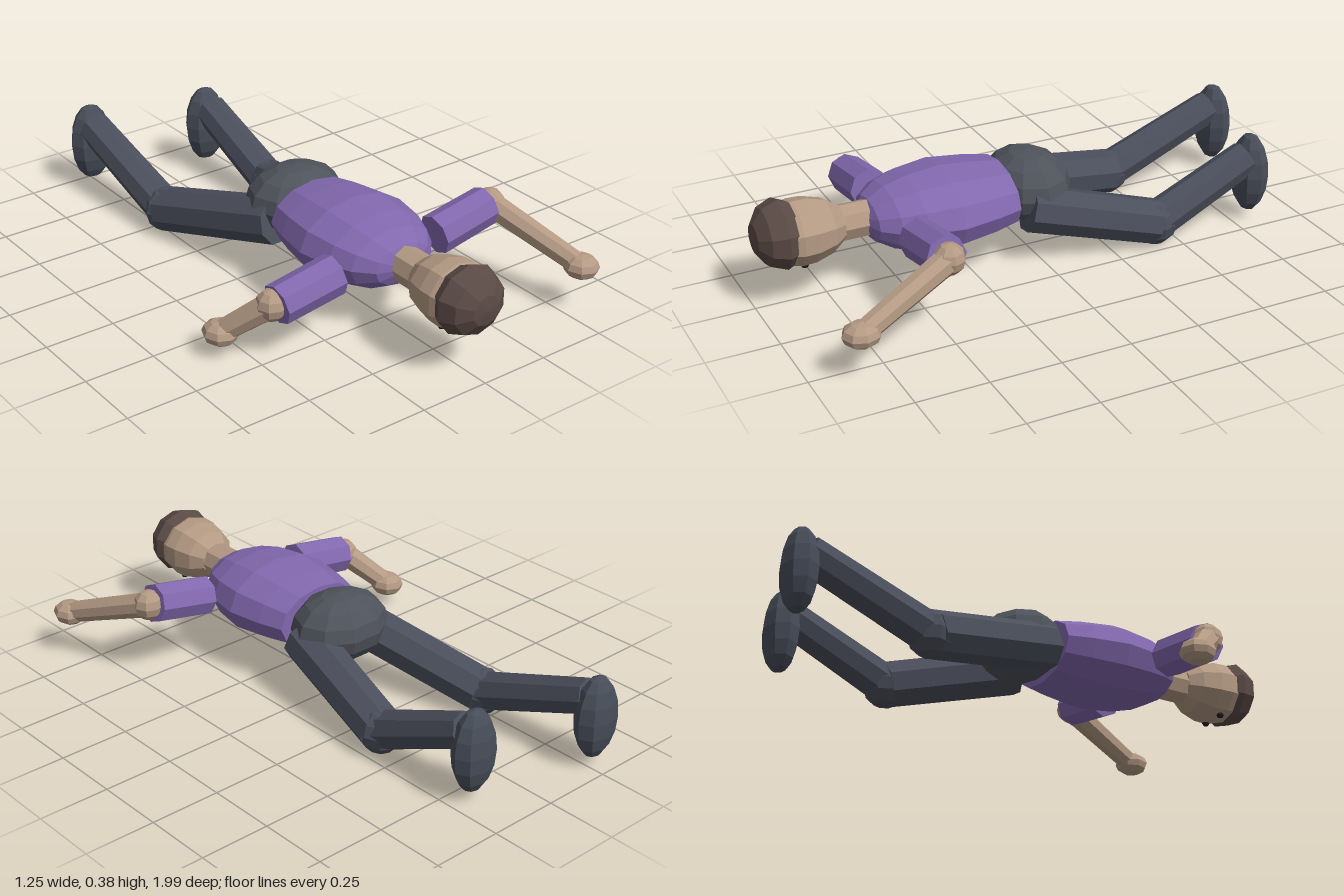
import * as THREE from 'three';

const flat = (name, color) => {
  const m = new THREE.MeshStandardMaterial({ color, flatShading: true });
  m.name = name;
  return m;
};

export function createModel() {
  const mats = {
    skin: flat('skin', 0xb49a84),
    shirt: flat('purple shirt', 0x8268ae),
    hair: flat('dark brown hair', 0x5a4a45),
    trousers: flat('slate trousers', 0x4b4f5c),
    pelvis: flat('grey hips', 0x4e525a),
    shoes: flat('slate shoes', 0x474d59),
    eyes: flat('dark eyes', 0x1e1c1c),
  };
  const group = new THREE.Group();
  group.name = 'lyingFigure';

  const add = (name, geometry, mat) => {
    const mesh = new THREE.Mesh(geometry, mats[mat]);
    mesh.name = name;
    group.add(mesh);
    return mesh;
  };

  // faceted ellipsoid
  const ball = (name, mat, center, radii, w = 8, h = 6) => {
    const mesh = add(name, new THREE.SphereGeometry(1, w, h), mat);
    mesh.position.set(...center);
    mesh.scale.set(...radii);
  };

  // eight-sided cylinder from a to b
  const limb = (name, mat, a, b, ra, rb) => {
    const start = new THREE.Vector3(...a), end = new THREE.Vector3(...b);
    const dir = end.clone().sub(start);
    const mesh = add(name, new THREE.CylinderGeometry(rb, ra, dir.length(), 8), mat);
    mesh.position.copy(start).add(end).multiplyScalar(0.5);
    mesh.quaternion.setFromUnitVectors(new THREE.Vector3(0, 1, 0), dir.normalize());
  };

  // lathe lying along z: profile of [radius, z], flattened in y
  const barrel = (name, mat, profile, y, flatten, sides) => {
    const g = new THREE.LatheGeometry(profile.map(p => new THREE.Vector2(...p)), sides);
    g.rotateX(Math.PI / 2);
    g.scale(1, flatten, 1);
    add(name, g, mat).position.y = y;
  };

  // torso and hips
  barrel('torso', 'shirt', [[0, 0.105], [0.178, 0.105], [0.204, 0.2], [0.225, 0.33],
    [0.204, 0.45], [0.17, 0.53], [0.115, 0.59], [0.06, 0.61], [0, 0.612]], 0.246, 0.615, 12);
  ball('hips', 'pelvis', [0, 0.25, 0], [0.185, 0.125, 0.15], 10, 8);

  // neck, head, hair and downturned face
  limb('neck', 'skin', [0, 0.25, 0.58], [0, 0.25, 0.72], 0.064, 0.064);
  barrel('head', 'skin', [[0, 0.682], [0.066, 0.69], [0.1, 0.735], [0.12, 0.8],
    [0.122, 0.85], [0.105, 0.91], [0, 0.96]], 0.253, 0.93, 10);
  barrel('hair', 'hair', [[0, 0.855], [0.108, 0.857], [0.128, 0.9], [0.105, 0.955],
    [0.055, 0.988], [0, 0.995]], 0.26, 0.95, 10);
  for (const s of [1, -1]) {
    ball(s > 0 ? 'leftEye' : 'rightEye', 'eyes', [s * 0.045, 0.15, 0.835], [0.014, 0.012, 0.014], 6, 4);
  }

  // arms: one raised forward, one folded back
  const arms = [
    { n: 'left', shoulder: [0.21, 0.245, 0.497], cuff: [0.435, 0.288, 0.497],
      elbow: [0.455, 0.29, 0.497], hand: [0.56, 0.165, 0.84] },
    { n: 'right', shoulder: [-0.212, 0.238, 0.497], cuff: [-0.44, 0.202, 0.497],
      elbow: [-0.455, 0.205, 0.49], hand: [-0.567, 0.084, 0.365] },
  ];
  for (const a of arms) {
    limb(a.n + 'Sleeve', 'shirt', a.shoulder, a.cuff, 0.072, 0.07);
    ball(a.n + 'Elbow', 'skin', a.elbow, [0.053, 0.055, 0.055]);
    limb(a.n + 'Forearm', 'skin', a.elbow, a.hand, 0.045, 0.038);
    ball(a.n + 'Hand', 'skin', a.hand, [0.06, 0.043, 0.065]);
  }

  // legs: thighs slope down to the knees, shins rise to the feet
  const legs = [
    { n: 'left', hip: [0.115, 0.212, 0.05], knee: [0.188, 0.086, -0.415],
      ankle: [0.175, 0.25, -0.79], foot: [0.168, 0.185, -0.815] },
    { n: 'right', hip: [-0.115, 0.212, 0.05], knee: [-0.246, 0.086, -0.46],
      ankle: [-0.27, 0.25, -0.91], foot: [-0.272, 0.185, -0.935] },
  ];
  for (const l of legs) {
    limb(l.n + 'Thigh', 'trousers', l.hip, l.knee, 0.086, 0.082);
    ball(l.n + 'Knee', 'trousers', l.knee, [0.08, 0.083, 0.08]);
    limb(l.n + 'Shin', 'trousers', l.knee, l.ankle, 0.07, 0.063);
    ball(l.n + 'Foot', 'shoes', l.foot, [0.084, 0.15, 0.062], 8, 8);
  }
  return group;
}
